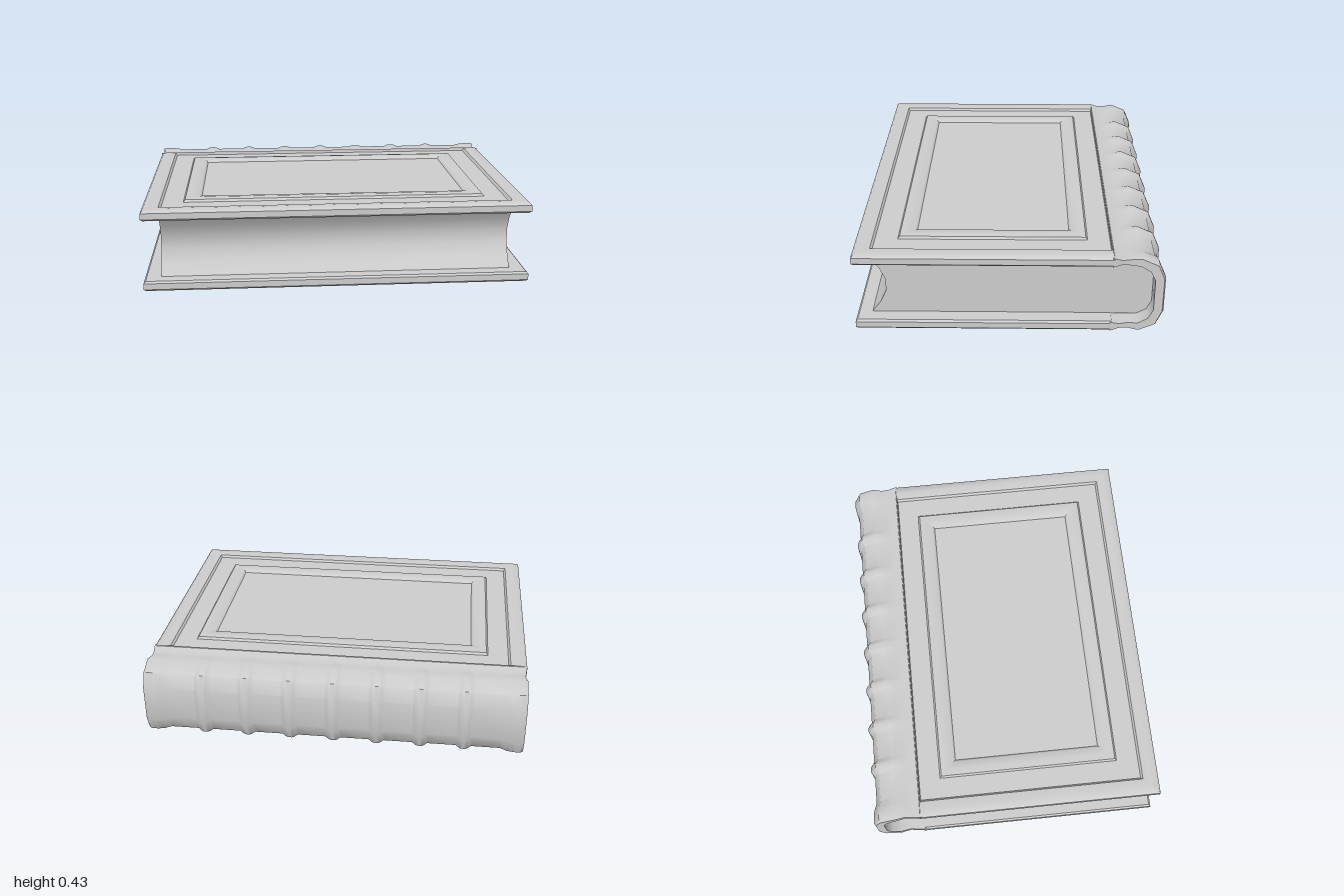
import * as THREE from 'three';
import { toCreasedNormals } from 'three/addons/utils/BufferGeometryUtils.js';

const HEIGHT = 0.43;
const material = new THREE.MeshStandardMaterial({ color: 0xcccccc });

function part(name, geometry, crease = 0.6) {
  const mesh = new THREE.Mesh(toCreasedNormals(geometry, crease), material);
  mesh.name = name;
  return mesh;
}

// Joins equal closed rings of [x, y, z] points and caps both ends,
// pairing the first half of each end ring with its second half.
function loft(rings) {
  const n = rings[0].length;
  const index = [];
  const quad = (a, b, c, d) => index.push(a, b, c, a, c, d);
  for (let r = 0; r < rings.length - 1; r++) {
    for (let i = 0; i < n; i++) {
      const j = (i + 1) % n;
      quad(r * n + i, r * n + j, (r + 1) * n + j, (r + 1) * n + i);
    }
  }
  const end = (rings.length - 1) * n;
  for (let i = 0; i < n / 2 - 1; i++) {
    quad(n - 1 - i, n - 2 - i, i + 1, i);
    quad(end + i, end + i + 1, end + n - 2 - i, end + n - 1 - i);
  }
  const geometry = new THREE.BufferGeometry();
  geometry.setAttribute('position', new THREE.Float32BufferAttribute(rings.flat(2), 3));
  geometry.setIndex(index);
  return geometry;
}

// Cover board: nested rectangles [half width, back z, front z, y]
// rising over the rounded rim, the sunk border and the raised inner frame.
function coverGeometry() {
  const rings = [
    [0.99, -0.52, 0.767, 0.376],
    [1.0, -0.52, 0.777, 0.386],
    [1.0, -0.52, 0.777, 0.418],
    [0.99, -0.519, 0.767, 0.428],
    [0.95, -0.517, 0.728, 0.43],
    [0.915, -0.515, 0.693, 0.426],
    [0.905, -0.51, 0.683, 0.413],
    [0.797, -0.397, 0.567, 0.413],
    [0.788, -0.388, 0.558, 0.425],
    [0.757, -0.357, 0.527, 0.43],
    [0.715, -0.315, 0.485, 0.424],
    [0.705, -0.305, 0.475, 0.413],
  ];
  return loft(rings.map(([x, back, front, y]) =>
    [[x, y, front], [x, y, back], [-x, y, back], [-x, y, front]]));
}

// Spine shell: a C-shaped section swept along x, swelling at the bands and ends.
function spineGeometry() {
  // Upper half of the outer line: [z, y, raised z, raised y, end inset]
  const outer = [
    [-0.512, 0.428, -0.512, 0.428, 0],
    [-0.56, 0.414, -0.56, 0.414, 0.006],
    [-0.6, 0.414, -0.6, 0.417, 0.011],
    [-0.655, 0.417, -0.655, 0.428, 0.002],
    [-0.728, 0.38, -0.742, 0.391, 0],
    [-0.757, 0.306, -0.777, 0.31, 0],
  ];
  const inner = [
    [-0.512, 0.377], [-0.56, 0.39], [-0.6, 0.384],
    [-0.65, 0.382], [-0.7, 0.352], [-0.725, 0.302],
  ];
  // Stations along x: [x, swelling]
  const stations = [[1, 0.6], [0.987, 1], [0.95, 1], [0.915, 0.7], [0.88, 0]];
  for (let k = 3; k >= -3; k--) {
    const c = k * 0.23;
    stations.push([c + 0.04, 0], [c + 0.022, 0.75], [c + 0.01, 1],
      [c - 0.01, 1], [c - 0.022, 0.75], [c - 0.04, 0]);
  }
  stations.push([-0.88, 0], [-0.915, 0.7], [-0.95, 1], [-0.987, 1], [-1, 0.6]);

  const flip = ([x, y, z]) => [x, HEIGHT - y, z];
  return loft(stations.map(([x, d]) => {
    const top = outer.map(([z, y, rz, ry, inset]) =>
      [x * (1 - inset), y + (ry - y) * d, z + (rz - z) * d]);
    const under = inner.map(([z, y], i) => [x * (1 - outer[i][4]), y, z]);
    return [...top, ...top.map(flip).reverse(), ...under.map(flip), ...under.slice().reverse()];
  }));
}

// Page block: rounded back and hollow fore edge, extruded across the width.
function pagesGeometry() {
  const half = [
    [0.625, 0.25], [0.655, 0.315], [0.702, 0.378],
    [-0.65, 0.378], [-0.702, 0.35], [-0.73, 0.302],
  ];
  const outline = [...half, ...half.map(([z, y]) => [z, HEIGHT - y]).reverse()];
  const shape = new THREE.Shape(outline.map(([z, y]) => new THREE.Vector2(-z, y)));
  const geometry = new THREE.ExtrudeGeometry(shape, { depth: 1.83, bevelEnabled: false });
  return geometry.translate(0, 0, -0.915).rotateY(Math.PI / 2);
}

export function createModel() {
  const book = new THREE.Group();
  book.name = 'book';

  const frontCover = part('frontCover', coverGeometry(), 0.75);
  const backCover = part('backCover', coverGeometry(), 0.75);
  backCover.rotation.z = Math.PI;
  backCover.position.y = HEIGHT;

  book.add(frontCover, backCover, part('spine', spineGeometry(), 0.75), part('pages', pagesGeometry()));
  return book;
}
